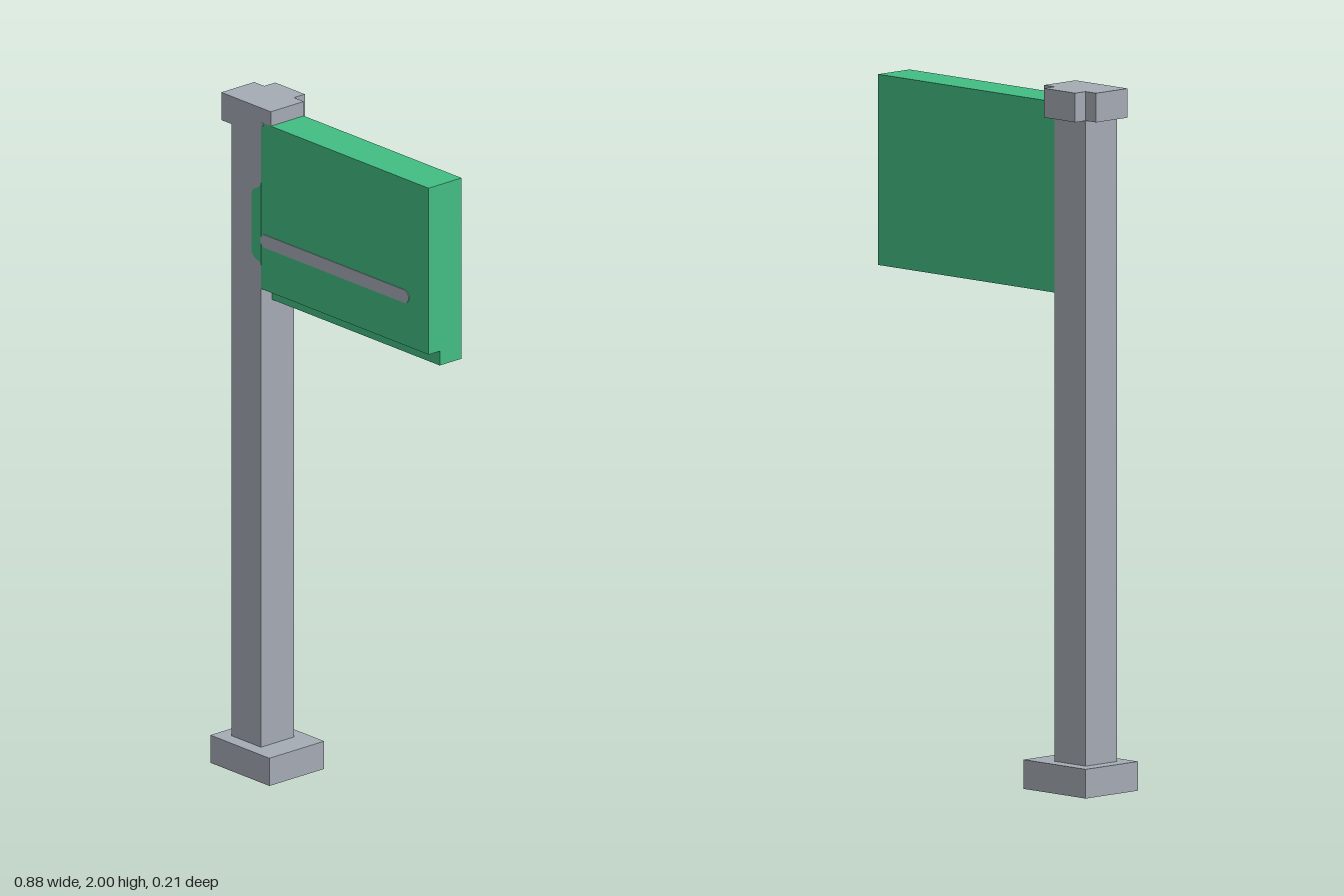
import * as THREE from 'three';

const grey = new THREE.MeshStandardMaterial({ color: 0xa5abb4 });
grey.name = 'concrete grey';
const green = new THREE.MeshStandardMaterial({ color: 0x42bd82 });
green.name = 'sign green';

const FRONT = 0.062, BACK = -0.062;

export function createModel() {
  const group = new THREE.Group();

  function add(name, geometry, material) {
    const mesh = new THREE.Mesh(geometry, material);
    mesh.name = name;
    group.add(mesh);
    return mesh;
  }
  // Box given by its lower and upper limits on each axis
  function box(name, [x0, x1], [y0, y1], [z0, z1], material) {
    const geometry = new THREE.BoxGeometry(x1 - x0, y1 - y0, z1 - z0);
    geometry.translate((x0 + x1) / 2, (y0 + y1) / 2, (z0 + z1) / 2);
    return add(name, geometry, material);
  }
  // Outline extruded along z
  function slab(name, shape, z, depth, material) {
    const geometry = new THREE.ExtrudeGeometry(shape, { depth, bevelEnabled: false, curveSegments: 8 });
    geometry.translate(0, 0, z);
    return add(name, geometry, material);
  }
  const outline = (points) => new THREE.Shape(points.map(([x, y]) => new THREE.Vector2(x, y)));

  // Post and foot
  box('foot', [-0.439, -0.19], [0, 0.083], [-0.103, 0.103], grey);
  box('post', [-0.397, -0.272], [0.083, 1.917], [BACK, FRONT], grey);

  // Cap, stepped over the top edge of the panel, with a tab at the back
  slab('cap', outline([
    [-0.439, 1.917], [-0.272, 1.917], [-0.272, 1.957], [-0.23, 1.957], [-0.23, 2], [-0.439, 2],
  ]), BACK, FRONT - BACK, grey);
  box('capTab', [-0.397, -0.272], [1.917, 2], [-0.103, BACK], grey);

  // Panel: side profile (z, y) with a rebate along the lower front edge, extruded along x
  const panel = slab('panel', outline([
    [BACK, 1.415], [0.02, 1.415], [0.02, 1.458], [FRONT, 1.458], [FRONT, 1.957], [BACK, 1.957],
  ]), 0, 0.708, green);
  panel.geometry.rotateY(-Math.PI / 2);
  panel.geometry.scale(1, 1, 1).translate(0.436, 0, 0);

  // Painted bulge of the panel on the post front
  slab('panelBulge', outline([
    [-0.27, 1.53], [-0.275, 1.537], [-0.3, 1.546], [-0.311, 1.56], [-0.311, 1.738],
    [-0.3, 1.751], [-0.28, 1.761], [-0.27, 1.775],
  ].reverse()), FRONT, 0.001, green);

  // Painted chamfer at the upper inner corner
  slab('panelCorner', outline([[-0.272, 1.94], [-0.256, 1.957], [-0.272, 1.957]]), FRONT, 0.001, grey);

  // Painted stripe with round ends
  const r = 0.0195, y = 1.605, x0 = -0.272 + r, x1 = 0.354 - r;
  const stripe = new THREE.Shape();
  stripe.absarc(x1, y, r, -Math.PI / 2, Math.PI / 2);
  stripe.absarc(x0, y, r, Math.PI / 2, Math.PI * 1.5);
  slab('stripe', stripe, FRONT, 0.002, grey);

  return group;
}
